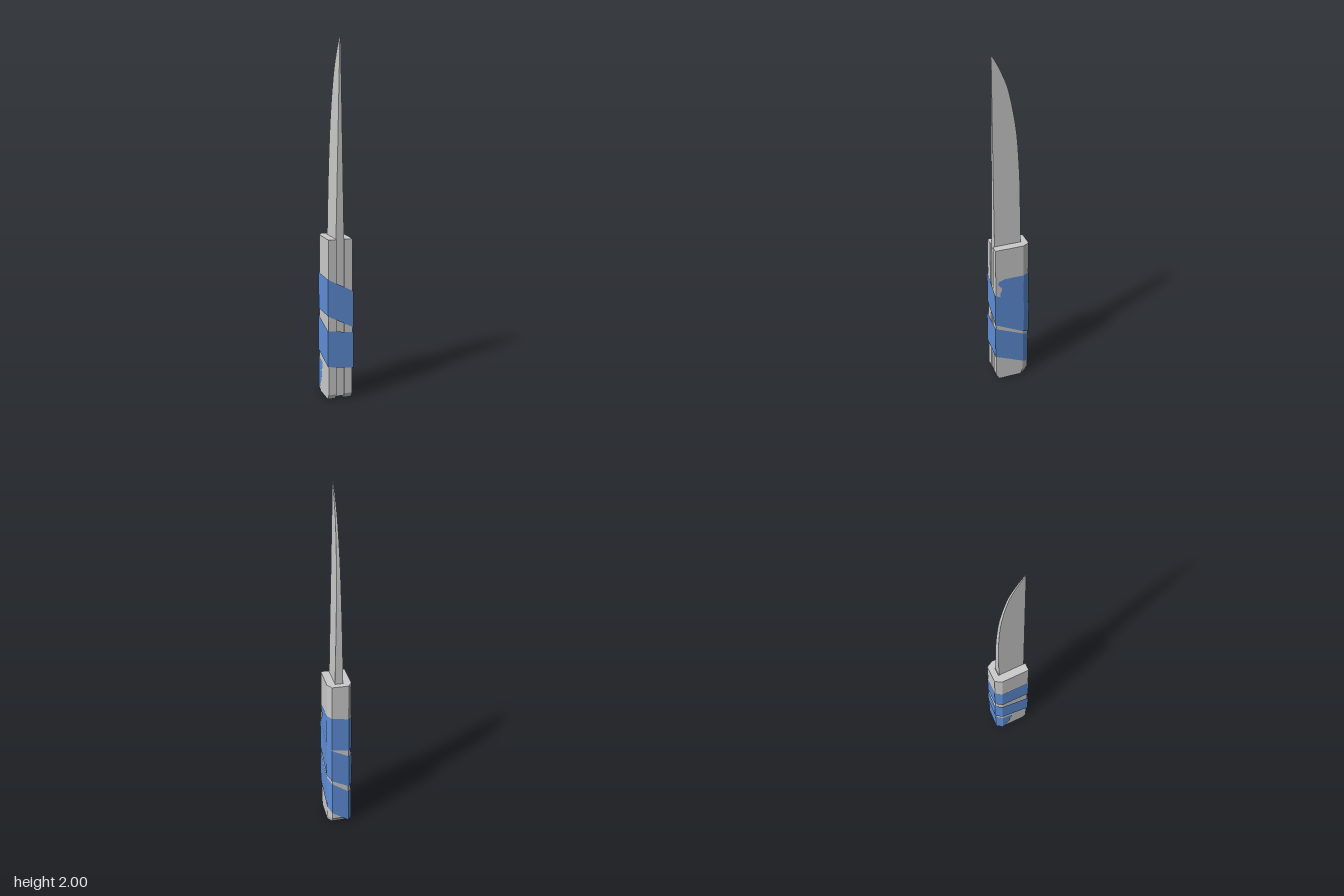
import * as THREE from 'three';

const grey = new THREE.MeshStandardMaterial({ color: 0xcccccc, flatShading: true });
const blue = new THREE.MeshStandardMaterial({ color: 0x5f8fd8, flatShading: true, side: THREE.DoubleSide });

const shapeOf = pts => new THREE.Shape(pts.map(p => new THREE.Vector2(...p)));

function add(group, name, geometry, material) {
  const mesh = new THREE.Mesh(geometry, material);
  mesh.name = name;
  group.add(mesh);
  return mesh;
}

// Applies a rule to every vertex of a geometry
function reshape(geometry, rule) {
  const pos = geometry.attributes.position, v = new THREE.Vector3();
  for (let i = 0; i < pos.count; i++) {
    rule(v.fromBufferAttribute(pos, i));
    pos.setXYZ(i, v.x, v.y, v.z);
  }
  geometry.computeVertexNormals();
  return geometry;
}

// Grip: chamfered back, slot open to the front, bevelled foot
function gripGeometry() {
  const outline = [
    [-0.072, 0.1], [-0.072, -0.065], [-0.05, -0.103], [0.045, -0.103], [0.066, -0.065],
    [0.066, 0.1], [0.02, 0.1], [0.02, -0.067], [-0.027, -0.067], [-0.027, 0.1],
  ].map(([x, z]) => [x, -z]);
  const geo = new THREE.ExtrudeGeometry(shapeOf(outline), { depth: 0.915, steps: 2, bevelEnabled: false });
  geo.rotateX(-Math.PI / 2);
  return reshape(geo, v => {
    if (v.y < 0.1) v.z *= 0.83;
    else if (v.y < 0.8) v.y = 0.03;
  });
}

// Blade: side silhouette whose thickness tapers towards the tip
function bladeGeometry() {
  const edge = new THREE.SplineCurve([
    [-0.063, 0.9], [-0.062, 1.2], [-0.055, 1.4], [-0.039, 1.6], [-0.002, 1.8],
    [0.034, 1.9], [0.066, 1.965], [0.088, 2],
  ].map(p => new THREE.Vector2(...p))).getPoints(28);
  const shape = new THREE.Shape([new THREE.Vector2(0.09, 2), new THREE.Vector2(0.09, 0.9), ...edge]);
  const geo = new THREE.ExtrudeGeometry(shape, { depth: 1, bevelEnabled: false });
  geo.translate(0, 0, -0.5).rotateY(-Math.PI / 2);
  return reshape(geo, v => {
    const t = (v.y - 0.9) / 1.1;
    v.x = -0.0035 + v.x * THREE.MathUtils.lerp(0.047, 0.004, t);
  });
}

// Ribbon of constant height through [x, z, topY] corners
function ribbonGeometry(path, height) {
  const positions = [], index = [];
  path.forEach(([x, z, top], i) => {
    positions.push(x, top, z, x, top - height, z);
    const a = i * 2;
    if (i) index.push(a - 2, a - 1, a, a, a - 1, a + 1);
  });
  const geo = new THREE.BufferGeometry();
  geo.setAttribute('position', new THREE.Float32BufferAttribute(positions, 3));
  geo.setIndex(index);
  geo.computeVertexNormals();
  return geo;
}

// Torn ribbon end lying on a side of the grip, as [z, y] points
function tornEnd(group, name, pts, x) {
  const geo = new THREE.ShapeGeometry(shapeOf(pts));
  geo.rotateY(-Math.PI / 2).translate(x, 0, 0);
  add(group, name, geo, blue);
}

export function createModel() {
  const model = new THREE.Group();
  model.name = 'knife';

  add(model, 'grip', gripGeometry(), grey);
  add(model, 'blade', bladeGeometry(), grey);
  const tang = add(model, 'tang', new THREE.BoxGeometry(0.047, 0.887, 0.157), grey);
  tang.position.set(-0.0035, 0.4585, 0.0115);

  // Cloth wrap wound twice and a half down the grip
  const wrap = new THREE.Group();
  wrap.name = 'wrap';
  model.add(wrap);
  const corners = [[0.069, -0.067], [0.046, -0.106], [-0.051, -0.106], [-0.076, -0.067], [-0.076, 0.103], [0.069, 0.103]];
  const tops = [
    0.72, 0.72, 0.705, 0.7, 0.695, 0.62,
    0.53, 0.51, 0.46, 0.455, 0.405, 0.385,
    0.305, 0.28, 0.215, 0.205,
  ];
  const path = tops.map((top, i) => {
    const [x, z] = corners[i % 6];
    const lift = i > 4 && i < 12 ? 1.03 : 1; // the middle turn lies over the first
    return [x * lift, z * lift, top];
  });
  add(wrap, 'wrapRibbon', ribbonGeometry(path, 0.207), blue);

  tornEnd(wrap, 'wrapStart', [
    [-0.067, 0.72], [0.045, 0.72], [0.08, 0.71], [0.088, 0.695], [0.08, 0.68], [0.066, 0.665],
    [0.064, 0.645], [0.074, 0.63], [0.075, 0.6], [0.06, 0.56], [-0.067, 0.513],
  ], 0.069);
  tornEnd(wrap, 'wrapEnd', [
    [-0.067, 0.205], [-0.005, 0.185], [0.0, 0.165], [-0.018, 0.14], [-0.012, 0.11],
    [-0.02, 0.08], [-0.04, 0.05], [-0.045, 0.03], [-0.067, 0.0],
  ], -0.076);

  return model;
}
